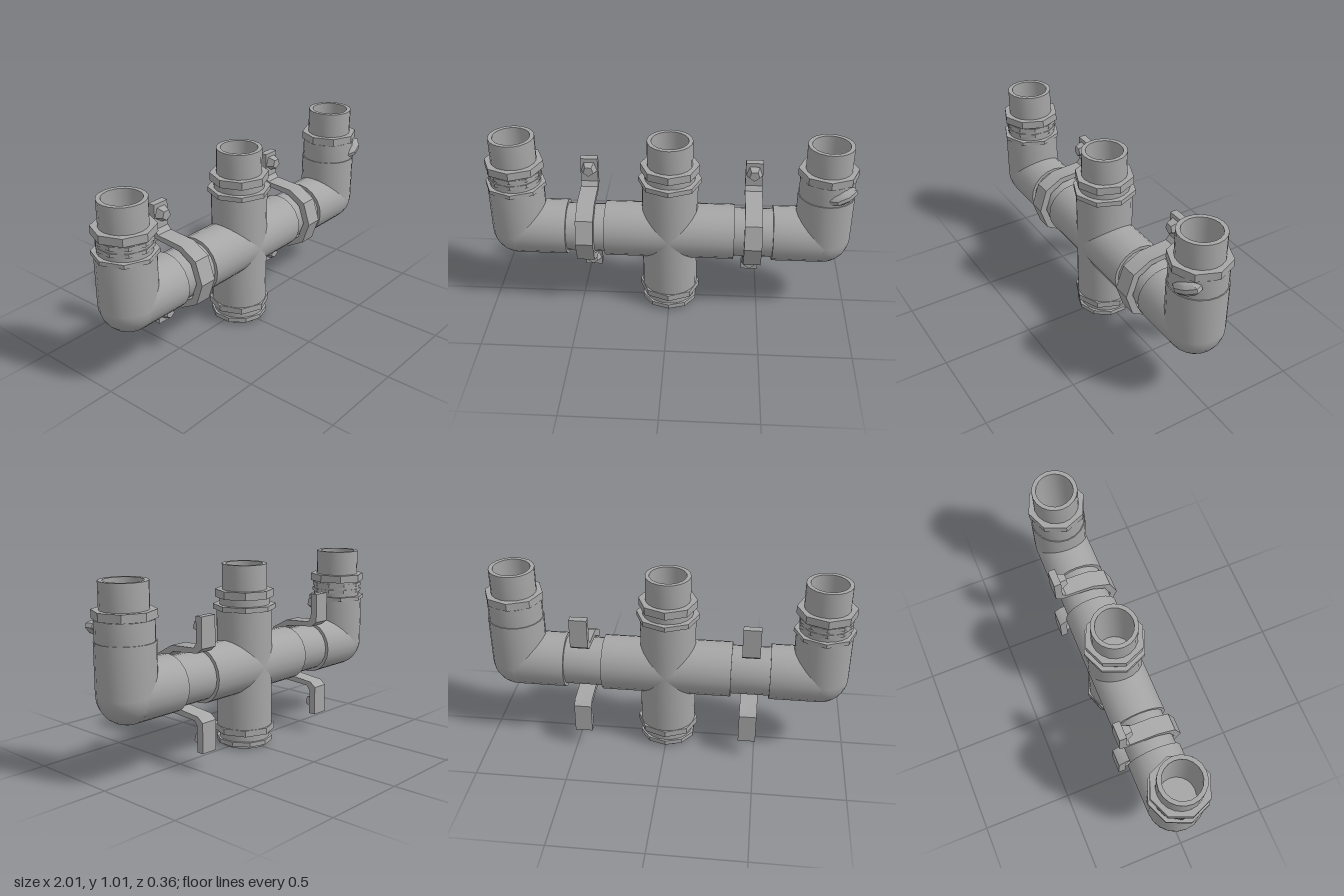
import * as THREE from 'three';
import { toCreasedNormals } from 'three/addons/utils/BufferGeometryUtils.js';

const grey = new THREE.MeshStandardMaterial({ color: 0xa6a6a6 });
grey.name = 'pipe grey';

const AXIS = 0.455; // height of the horizontal run
const R = 0.153;

export function createModel() {
  const model = new THREE.Group();
  model.name = 'pipeManifold';

  function add(parent, name, geometry, x = 0, y = 0, z = 0) {
    const mesh = new THREE.Mesh(toCreasedNormals(geometry, 0.6), grey);
    mesh.name = name;
    mesh.position.set(x, y, z);
    parent.add(mesh);
    return mesh;
  }

  function lathe(points, sides) {
    return new THREE.LatheGeometry(points.map(([r, y]) => new THREE.Vector2(r, y)), sides);
  }

  // Faceted ring around an upright pipe
  function collar(parent, x, y0, y1, r, sides = 8) {
    const bore = 0.115;
    add(parent, 'collar', lathe([[bore, y0], [r, y0], [r, y1], [bore, y1], [bore, y0]], sides), x);
  }

  // Pipe lying along x
  function run(parent, name, x0, x1, r) {
    const g = new THREE.CylinderGeometry(r, r, Math.abs(x1 - x0), 20).rotateZ(Math.PI / 2);
    add(parent, name, g, (x0 + x1) / 2, AXIS);
  }

  // Upright pipe ending in a narrower, hollow spout
  function upright(parent, x, base, shoulder) {
    add(parent, 'uprightPipe', lathe([
      ...base, [R, shoulder], [0.138, shoulder], [0.138, 0.84], [0.123, 0.84],
      [0.123, 1.012], [0.1, 1.012], [0.1, 0.62], [0, 0.62],
    ], 20), x);
    collar(parent, x, 0.83, 0.873, 0.16);
  }

  // Central cross fitting with a stepped foot
  const cross = new THREE.Group();
  cross.name = 'crossFitting';
  model.add(cross);
  run(cross, 'crossArm', -0.355, 0.355, R);
  upright(cross, 0, [[0, 0], [0.132, 0], [0.132, 0.015], [0.14, 0.015], [0.14, 0.08], [R, 0.08]], 0.78);
  collar(cross, 0, 0.765, 0.792, 0.172);
  collar(cross, 0, 0.077, 0.112, 0.167);
  collar(cross, 0, 0.015, 0.04, 0.156, 10);

  // Wall clamp profile: lower half as (z, y offset), mirrored for the upper half
  const outer = [[0.182, 0], [0.14, -0.125], [0.04, -0.18], [-0.12, -0.19], [-0.14, -0.215], [-0.14, -0.355]];
  const inner = [[-0.18, -0.355], [-0.18, -0.192], [-0.145, -0.165], [0.03, -0.148], [0.108, -0.1], [0.143, 0]];
  const flip = (list) => list.map(([z, y]) => [z, -y]).reverse();
  const profile = [...outer, ...inner, ...flip(inner).slice(1), ...flip(outer).slice(0, -1)];
  const clampShape = new THREE.Shape(profile.map(([z, y]) => new THREE.Vector2(-z, y)));

  for (const side of [-1, 1]) {
    const x = side * 0.84;
    const arm = new THREE.Group();
    arm.name = side > 0 ? 'leftArm' : 'rightArm';
    model.add(arm);

    // Slim connecting pipe and elbow
    run(arm, 'connectingPipe', side * 0.34, side * 0.58, 0.135);
    run(arm, 'elbowArm', side * 0.565, x, R);
    add(arm, 'elbowCorner', new THREE.SphereGeometry(R, 20, 14), x, AXIS);
    upright(arm, x, [[R, AXIS]], 0.72);
    if (side < 0) {
      collar(arm, x, 0.72, 0.742, 0.166);
      collar(arm, x, 0.765, 0.785, 0.146, 10);
      collar(arm, x, 0.8, 0.82, 0.146, 10);
    } else {
      collar(arm, x, 0.72, 0.828, 0.148, 20);
      // Small angled lever on the collar
      const lever = new THREE.SphereGeometry(1, 7, 5).scale(0.085, 0.036, 0.045);
      add(arm, 'lever', lever, 0.912, 0.775, 0.122).rotation.set(0, 0.35, 0.35);
    }

    // Clamp strap with two five-sided bolts
    const clamp = new THREE.Group();
    clamp.name = 'wallClamp';
    clamp.position.set(side * 0.458, AXIS, 0);
    arm.add(clamp);
    const strap = new THREE.ExtrudeGeometry(clampShape, { depth: 0.096, bevelEnabled: false });
    strap.translate(0, 0, -0.048).rotateY(Math.PI / 2);
    add(clamp, 'strap', strap);
    for (const y of [-0.295, 0.295]) {
      const bolt = new THREE.CylinderGeometry(0.03, 0.047, 0.042, 5).rotateX(Math.PI / 2);
      add(clamp, 'bolt', bolt, 0, y, -0.12);
    }
  }
  return model;
}
